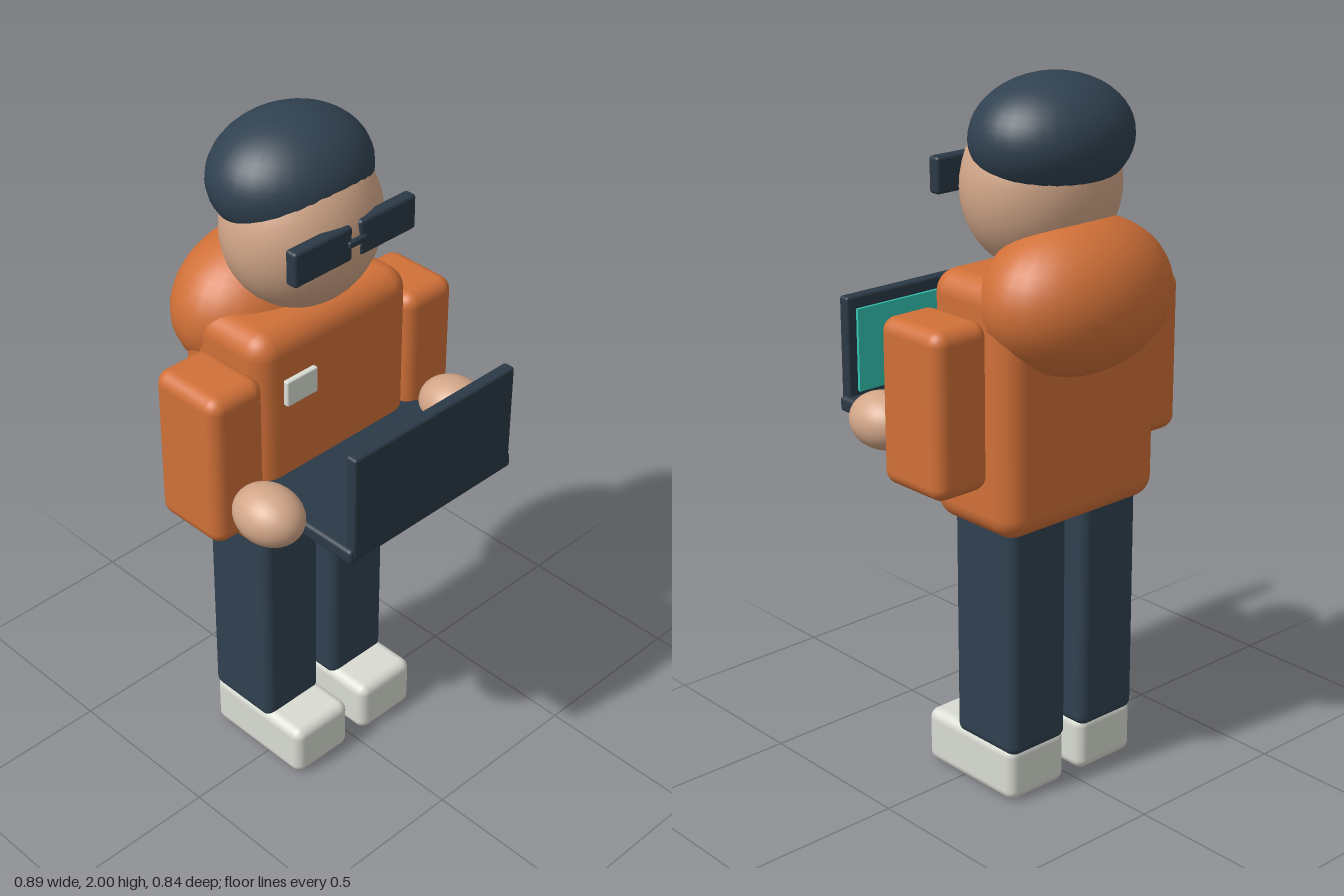
import * as THREE from 'three';
import { RoundedBoxGeometry } from 'three/addons/geometries/RoundedBoxGeometry.js';

const material = (name, color) => {
  const m = new THREE.MeshStandardMaterial({ color });
  m.name = name;
  return m;
};

export function createModel() {
  const orange = material('orange cloth', 0xd07038);
  const navy = material('navy', 0x304150);
  const dark = material('dark slate', 0x2b3946);
  const skin = material('skin', 0xd2a688);
  const white = material('off white', 0xd9dcd3);
  const teal = material('teal screen', 0x34c4b4);

  const model = new THREE.Group();
  model.name = 'hoodedWorker';

  const add = (parent, name, geometry, mat, x, y, z) => {
    const mesh = new THREE.Mesh(geometry, mat);
    mesh.name = name;
    mesh.position.set(x, y, z);
    parent.add(mesh);
    return mesh;
  };
  // Rounded box given by its x, y and z ranges
  const block = (parent, name, mat, [x0, x1], [y0, y1], [z0, z1], radius) =>
    add(parent, name, new RoundedBoxGeometry(x1 - x0, y1 - y0, z1 - z0, 4, radius), mat,
      (x0 + x1) / 2, (y0 + y1) / 2, (z0 + z1) / 2);
  // Ellipsoid given by its centre and radii
  const ellipsoid = (parent, name, mat, [x, y, z], [rx, ry, rz]) =>
    add(parent, name, new THREE.SphereGeometry(1, 32, 24).scale(rx, ry, rz), mat, x, y, z);
  const group = (name) => {
    const g = new THREE.Group();
    g.name = name;
    model.add(g);
    return g;
  };

  // Body with the lowered hood and chest badge
  const body = group('body');
  block(body, 'torso', orange, [-0.28, 0.28], [0.8, 1.5], [-0.262, 0.063], 0.065);
  ellipsoid(body, 'hood', orange, [0, 1.43, -0.215], [0.295, 0.213, 0.205]);
  block(body, 'badge', white, [-0.2, -0.09], [1.285, 1.363], [0.058, 0.078], 0.005);

  // Head: the hair is a flatter ellipsoid set back over the skull
  const head = group('head');
  ellipsoid(head, 'face', skin, [0, 1.705, -0.077], [0.228, 0.235, 0.2]);
  ellipsoid(head, 'hair', navy, [0, 1.836, -0.117], [0.236, 0.164, 0.196]);

  // Glasses
  const glasses = group('glasses');
  block(glasses, 'bridge', dark, [-0.033, 0.033], [1.715, 1.735], [0.105, 0.133], 0.006);

  // Mirrored limbs and lenses
  for (const [side, s] of [['left', 1], ['right', -1]]) {
    const span = (a, b) => (s > 0 ? [a, b] : [-b, -a]);
    const arm = group(side + 'Arm');
    block(arm, side + 'Sleeve', orange, span(0.263, 0.445), [0.937, 1.4], [-0.173, 0.067], 0.04);
    ellipsoid(arm, side + 'Hand', skin, [s * 0.352, 1.065, 0.163], [0.087, 0.08, 0.107]);

    const leg = group(side + 'Leg');
    block(leg, side + 'Trouser', navy, span(0.028, 0.236), [0.14, 0.83], [-0.222, 0.02], 0.03);
    block(leg, side + 'Shoe', white, span(0.028, 0.236), [0, 0.165], [-0.216, 0.144], 0.03);

    block(glasses, side + 'Lens', dark, span(0.014, 0.215), [1.674, 1.775], [0.088, 0.126], 0.01);
  }

  // Open laptop, screen facing the body
  const laptop = group('laptop');
  block(laptop, 'laptopBase', dark, [-0.307, 0.307], [1.013, 1.058], [0.02, 0.418], 0.012);
  block(laptop, 'laptopLid', dark, [-0.295, 0.295], [1.03, 1.346], [0.385, 0.421], 0.008);
  add(laptop, 'screen', new THREE.BoxGeometry(0.53, 0.24, 0.009), teal, 0, 1.19, 0.3805);

  return model;
}
